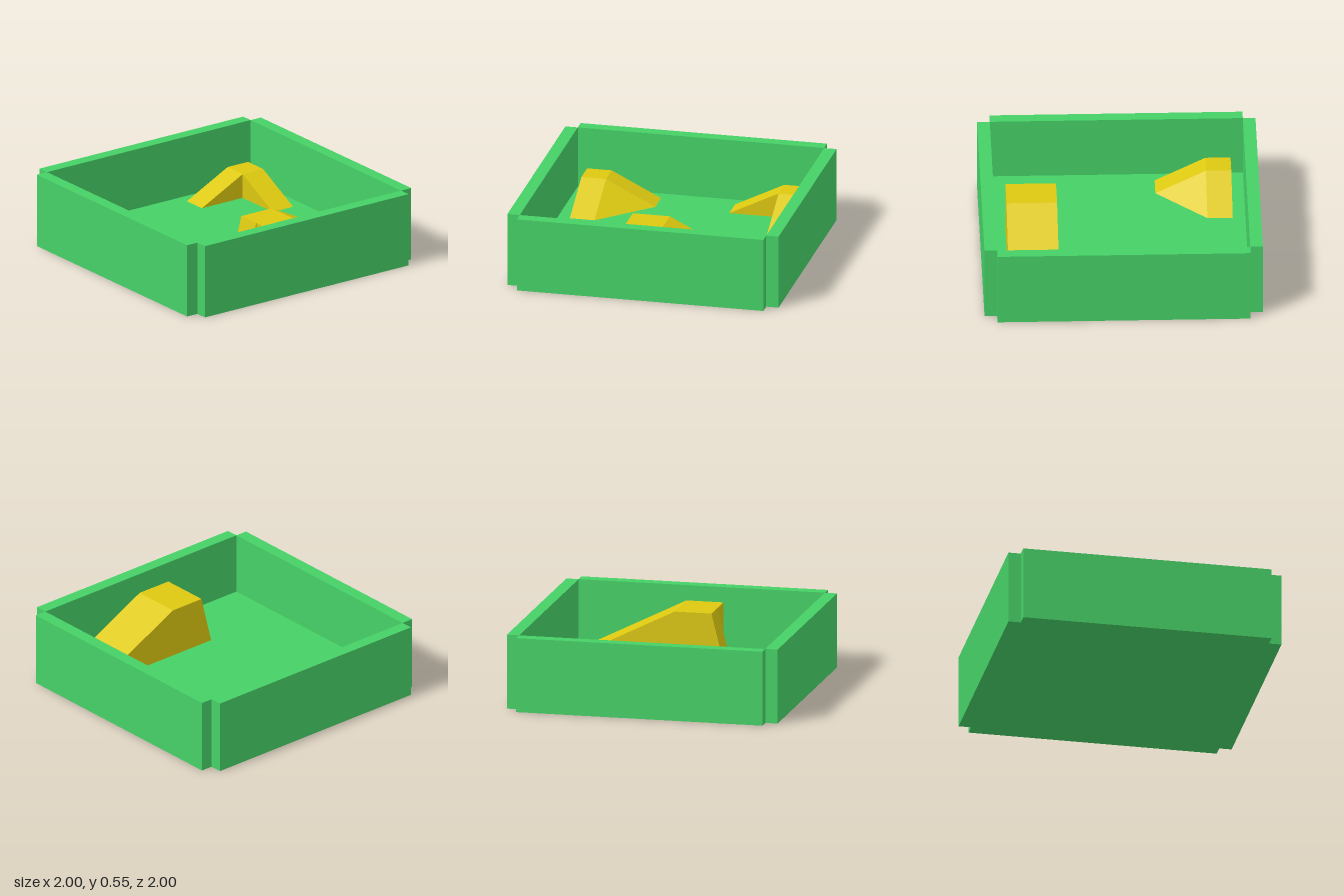
import * as THREE from 'three';
import { ConvexGeometry } from 'three/addons/geometries/ConvexGeometry.js';

const U = 1 / 11; // one grid cell of the layout

const green = new THREE.MeshStandardMaterial({ name: 'green', color: 0x46d167 });
const yellow = new THREE.MeshStandardMaterial({ name: 'yellow', color: 0xdcc810 });

// Box given by its low and high corners in cells
function block(name, [x0, y0, z0], [x1, y1, z1]) {
  const geometry = new THREE.BoxGeometry((x1 - x0) * U, (y1 - y0) * U, (z1 - z0) * U);
  const mesh = new THREE.Mesh(geometry, green);
  mesh.position.set((x0 + x1) / 2 * U, (y0 + y1) / 2 * U, (z0 + z1) / 2 * U);
  mesh.name = name;
  return mesh;
}

// Flat-sided solid wrapped around corner points in cells
function solid(name, corners) {
  const points = corners.map(([x, y, z]) => new THREE.Vector3(x, y, z).multiplyScalar(U));
  const mesh = new THREE.Mesh(new ConvexGeometry(points), yellow);
  mesh.name = name;
  return mesh;
}

// Profiles of [run, height] swept across the other horizontal axis
const alongZ = (profile, x0, x1) => profile.flatMap(([z, y]) => [[x0, y, z], [x1, y, z]]);
const alongX = (profile, z0, z1) => profile.flatMap(([x, y]) => [[x, y, z0], [x, y, z1]]);

export function createModel() {
  const model = new THREE.Group();
  model.name = 'rampArena';

  // Tray with open notches at its four corners
  model.add(
    block('floor', [-10, 0, -10], [10, 1, 10]),
    block('frontWall', [-10, 0, 10], [10, 6, 11]),
    block('backWall', [-10, 0, -11], [10, 6, -10]),
    block('leftWall', [10, 0, -10], [11, 6, 10]),
    block('rightWall', [-11, 0, -10], [-10, 6, 10]),
  );

  // Corner platform with two separate ramps
  const cornerRamps = new THREE.Group();
  cornerRamps.name = 'cornerRamps';
  cornerRamps.add(
    solid('platformAndSideRamp', alongX([[-9, 1], [-9, 3], [-7, 3], [-3, 1]], -9, -7)),
    solid('forwardRamp', alongZ([[-7, 1], [-7, 3], [-3, 1]], -9, -7)),
  );
  model.add(cornerRamps);

  // Corner platform whose two ramps are joined by a sloping face
  model.add(solid('joinedCornerRamp', [
    ...[[-9, 7], [-7, 7], [-7, 9], [-9, 9]].map(([x, z]) => [x, 3, z]),
    ...[[-9, 3], [-7, 3], [-3, 7], [-3, 9], [-9, 9]].map(([x, z]) => [x, 1, z]),
  ]));

  // Tall ramp with a level top and a steep half-width drop
  const tallRamp = new THREE.Group();
  tallRamp.name = 'tallRamp';
  tallRamp.add(
    solid('rampBody', alongZ([[-9, 1], [-1, 5], [2, 5], [2, 1]], 5, 9)),
    solid('steepDrop', alongZ([[2, 1], [2, 5], [3, 1]], 5, 7)),
  );
  model.add(tallRamp);

  return model;
}
